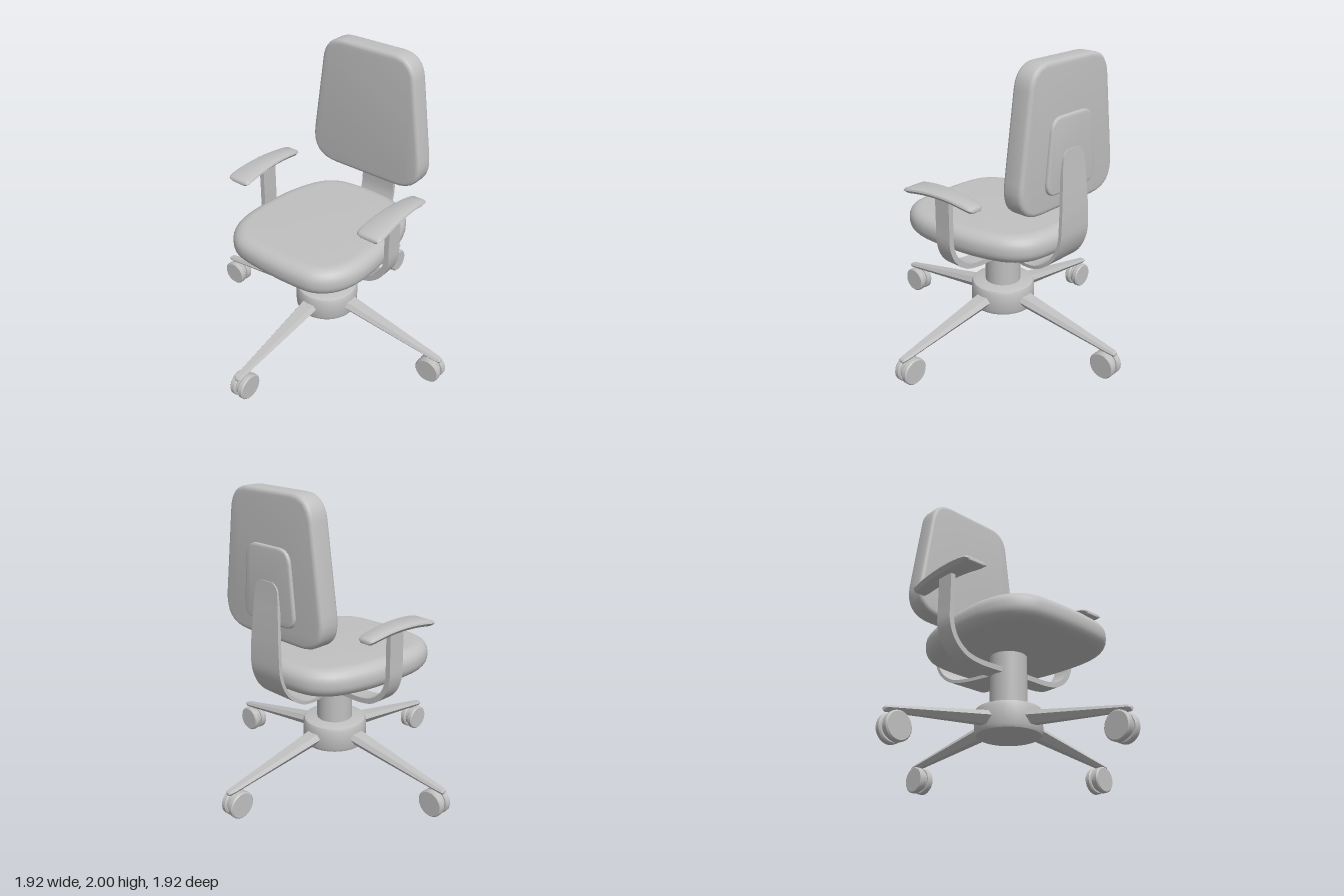
import * as THREE from 'three';
import { toCreasedNormals } from 'three/addons/utils/BufferGeometryUtils.js';

const V3 = (x, y, z) => new THREE.Vector3(x, y, z);

// Skin a row of equal-length rings, cap both ends, and face outwards
function loft(rings, crease = 0.6) {
  const n = rings[0].length, pts = rings.flat(), idx = [];
  for (let i = 0; i < rings.length - 1; i++) {
    for (let j = 0; j < n; j++) {
      const a = i * n + j, b = i * n + (j + 1) % n;
      idx.push(a, b, a + n, b, b + n, a + n);
    }
  }
  const last = (rings.length - 1) * n;
  for (let j = 1; j < n - 1; j++) idx.push(0, j + 1, j, last, last + j, last + j + 1);
  let volume = 0;
  const cross = V3(0, 0, 0);
  for (let i = 0; i < idx.length; i += 3) {
    volume += cross.crossVectors(pts[idx[i + 1]], pts[idx[i + 2]]).dot(pts[idx[i]]);
  }
  if (volume < 0) idx.reverse();
  const g = new THREE.BufferGeometry().setFromPoints(pts);
  g.setIndex(idx);
  return toCreasedNormals(g, crease);
}

// Flat bar swept in a plane; each control point is (u, v, half width)
function bar(points, thickness, steps, place) {
  const curve = new THREE.CatmullRomCurve3(points.map(p => V3(...p)));
  const rings = [];
  for (let i = 0; i <= steps; i++) {
    const p = curve.getPoint(i / steps), t = curve.getTangent(i / steps);
    const len = Math.hypot(t.x, t.y) || 1;
    const nu = -t.y / len * thickness / 2, nv = t.x / len * thickness / 2;
    rings.push([[1, 1], [1, -1], [-1, -1], [-1, 1]].map(
      ([s, w]) => place(p.x + s * nu, p.y + s * nv, w * p.z)));
  }
  return loft(rings, 0.7);
}

// Upright trapezoid with rounded corners, extruded along x from x0 to x1
function panel(bottom, top, y0, y1, rBottom, rTop, x0, x1, bevel) {
  const c = [[-bottom, y0, rBottom], [bottom, y0, rBottom], [top, y1, rTop], [-top, y1, rTop]];
  const shape = new THREE.Shape();
  c.forEach(([x, y, r], i) => {
    const at = new THREE.Vector2(x, y);
    const toward = k => {
      const q = new THREE.Vector2(c[k][0], c[k][1]).sub(at).setLength(r);
      return q.add(at);
    };
    const a = toward((i + 3) % 4), b = toward((i + 1) % 4);
    if (i === 0) shape.moveTo(a.x, a.y); else shape.lineTo(a.x, a.y);
    shape.quadraticCurveTo(x, y, b.x, b.y);
  });
  shape.closePath();
  const g = new THREE.ExtrudeGeometry(shape, {
    depth: x1 - x0 - 2 * bevel, bevelThickness: bevel, bevelSize: bevel,
    bevelOffset: -bevel, bevelSegments: 3, curveSegments: 8,
  });
  g.rotateY(Math.PI / 2).translate(x0 + bevel, 0, 0);
  return toCreasedNormals(g, 0.6);
}

function seatGeometry() {
  const half = [[-0.57, 0.2], [-0.54, 0.33], [-0.45, 0.43], [-0.3, 0.488], [0, 0.488],
    [0.2, 0.455], [0.38, 0.385], [0.48, 0.28], [0.52, 0.13]];
  const all = [...half, ...half.map(([x, z]) => [x, -z]).reverse()];
  const curve = new THREE.CatmullRomCurve3(all.map(([x, z]) => V3(x, z, 0)), true);
  const outline = curve.getPoints(56).slice(0, -1).map(p => new THREE.Vector2(p.x, p.y));
  const g = new THREE.ExtrudeGeometry(new THREE.Shape(outline), {
    depth: 0.025, bevelThickness: 0.08, bevelSize: 0.09, bevelOffset: -0.09, bevelSegments: 6,
  });
  g.rotateX(Math.PI / 2).translate(0, 0.85, 0);
  return toCreasedNormals(g, 0.7);
}

// Arched arm pad, wider towards the front (-x)
function padGeometry() {
  const section = [[-0.7, -0.5], [0.7, -0.5], [1, 0.05], [0.95, 0.3], [0.75, 0.5],
    [-0.75, 0.5], [-0.95, 0.3], [-1, 0.05]];
  const rings = [];
  for (let i = 0; i <= 16; i++) {
    const x = -0.285 * Math.cos(Math.PI * i / 16);
    const k = x / 0.285, end = Math.pow(Math.max(0, 1 - Math.pow(Math.abs(k), 14)), 0.5);
    const w = (0.076 - 0.018 * k) * (0.7 + 0.3 * end);
    const h = 0.042 * (0.4 + 0.6 * end), y = 1.169 - 0.031 * k * k;
    rings.push(section.map(([a, b]) => V3(x, y + b * h, a * w)));
  }
  return loft(rings, 0.7);
}

// Tapering six-sided leg pointing along +x
function legGeometry() {
  const stations = [[0.17, 0.34, 0.305, 0.255, 0.066], [0.9, 0.203, 0.188, 0.168, 0.028],
    [0.935, 0.197, 0.184, 0.165, 0.024], [0.945, 0.188, 0.18, 0.17, 0.016]];
  return loft(stations.map(([x, top, mid, low, w]) => [
    V3(x, top, w * 0.65), V3(x, mid, w), V3(x, low, w * 0.4),
    V3(x, low, -w * 0.4), V3(x, mid, -w), V3(x, top, -w * 0.65)]), 0.3);
}

export function createModel() {
  const model = new THREE.Group();
  model.name = 'officeChair';
  const grey = new THREE.MeshStandardMaterial({ color: 0xc0c0c0 });
  grey.name = 'light grey';
  const add = (name, geometry, parent = model) => {
    const mesh = new THREE.Mesh(geometry, grey);
    mesh.name = name;
    parent.add(mesh);
    return mesh;
  };

  // Seat, backrest and its mounting plate
  add('seat', seatGeometry());
  add('backrest', panel(0.47, 0.34, 1.09, 2.0, 0.23, 0.15, 0.4, 0.545, 0.025));
  add('backPlate', panel(0.236, 0.186, 1.195, 1.675, 0.1, 0.09, 0.53, 0.565, 0.012));

  // Bent bar from under the seat up to the backrest
  add('backSupport', bar([[0.03, 0.637, 0.06], [0.16, 0.637, 0.085], [0.3, 0.638, 0.12],
    [0.42, 0.665, 0.135], [0.53, 0.75, 0.136], [0.585, 0.87, 0.135], [0.592, 1, 0.132],
    [0.583, 1.18, 0.12], [0.568, 1.37, 0.104], [0.564, 1.43, 0.092], [0.562, 1.46, 0.055]],
  0.022, 48, (u, v, w) => V3(u, v, w)));

  // Armrests, mirrored front to back in z
  const armBar = bar([[0, 0.622, 0.06], [0.15, 0.622, 0.06], [0.3, 0.624, 0.06],
    [0.4, 0.648, 0.06], [0.485, 0.72, 0.06], [0.525, 0.82, 0.06], [0.528, 0.95, 0.06],
    [0.528, 1.16, 0.06]], 0.035, 32, (u, v, w) => V3(w - 0.004, v, u));
  const pad = padGeometry();
  for (const side of [1, -1]) {
    const arm = new THREE.Group();
    arm.name = side > 0 ? 'leftSideArmrest' : 'rightSideArmrest';
    add('armBar', armBar, arm).rotation.y = side > 0 ? 0 : Math.PI;
    add('armPad', pad, arm).position.z = side * 0.533;
    model.add(arm);
  }

  // Column and rounded hub
  add('column', new THREE.CylinderGeometry(0.12, 0.12, 0.42, 32).translate(0, 0.56, 0));
  const hubProfile = [[0, 0.21], [0.185, 0.21], [0.207, 0.219], [0.216, 0.24],
    [0.216, 0.365], [0.207, 0.386], [0.185, 0.395], [0, 0.395]];
  add('hub', toCreasedNormals(new THREE.LatheGeometry(
    hubProfile.map(([r, y]) => new THREE.Vector2(r, y)), 32), 0.6));

  // Four legs, each with a twin-wheel caster
  const leg = legGeometry();
  const wheelProfile = [[0, -0.021], [0.08, -0.021], [0.088, -0.013], [0.088, 0.013],
    [0.08, 0.021], [0, 0.021]].map(([r, y]) => new THREE.Vector2(r, y));
  const wheel = toCreasedNormals(new THREE.LatheGeometry(wheelProfile, 24), 0.5)
    .rotateX(Math.PI / 2);
  const axle = new THREE.CylinderGeometry(0.07, 0.07, 0.03, 24).rotateX(Math.PI / 2);
  for (let i = 0; i < 4; i++) {
    const spoke = new THREE.Group();
    spoke.name = 'leg' + (i + 1);
    spoke.rotation.y = i * Math.PI / 2 + 0.018;
    add('legBeam', leg, spoke);
    add('casterAxle', axle, spoke).position.set(0.872, 0.09, 0);
    add('casterStem', new THREE.CylinderGeometry(0.012, 0.012, 0.1, 12), spoke)
      .position.set(0.872, 0.14, 0);
    for (const s of [1, -1]) add('casterWheel', wheel, spoke).position.set(0.872, 0.088, s * 0.032);
    model.add(spoke);
  }
  return model;
}
